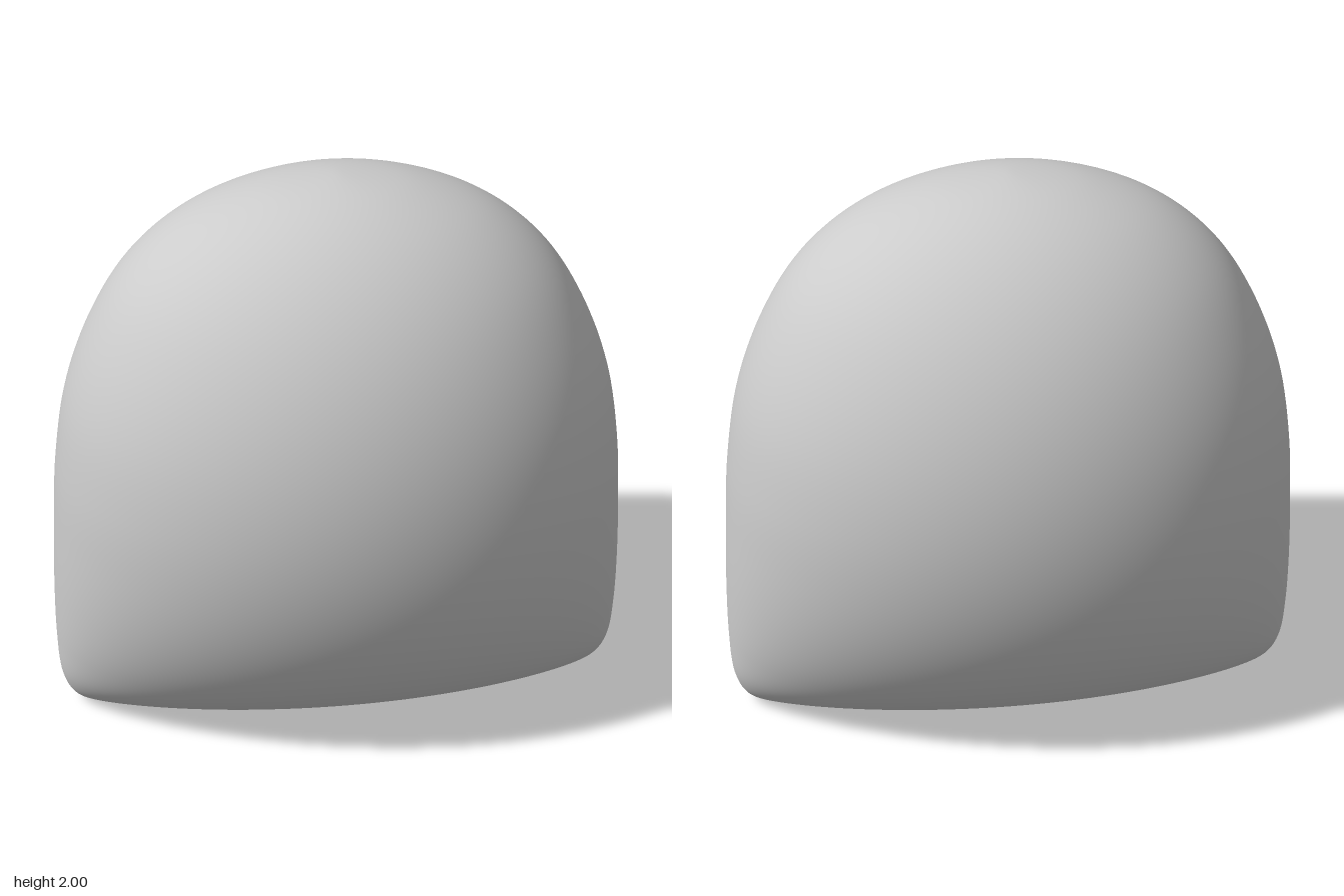
import * as THREE from 'three';
import { mergeVertices } from 'three/addons/utils/BufferGeometryUtils.js';

// Half widths from the bottom edge to the crown, at equal steps of the vertical arc
const HALF_WIDTHS = [0.86, 0.945, 0.99, 1, 0.997, 0.985, 0.965, 0.92, 0.83, 0.7, 0.51, 0.26, 0];
const HALF_DEPTH = 0.715;

// Elliptical level sections: oval from the side, closing to a straight edge below and a dome above
function bodyGeometry() {
  const width = new THREE.SplineCurve(HALF_WIDTHS.map((w, i) => new THREE.Vector2(i, w)));
  const sheet = new THREE.PlaneGeometry(1, 1, 128, 96);
  const pos = sheet.attributes.position;
  const uv = sheet.attributes.uv;
  for (let i = 0; i < pos.count; i++) {
    const a = (uv.getX(i) * 2 - 1) * Math.PI;
    const v = uv.getY(i);
    const t = v * Math.PI;
    pos.setXYZ(
      i,
      width.getPoint(v).y * Math.sin(a),
      1 - Math.cos(t),
      HALF_DEPTH * Math.sin(t) * Math.cos(a)
    );
  }
  // Weld the seam, the crown and the bottom edge so shading stays smooth
  sheet.deleteAttribute('uv');
  sheet.deleteAttribute('normal');
  const geometry = mergeVertices(sheet, 1e-4);
  geometry.computeVertexNormals();
  return geometry;
}

export function createModel() {
  const group = new THREE.Group();
  const material = new THREE.MeshStandardMaterial({ color: 0xcccccc });
  const body = new THREE.Mesh(bodyGeometry(), material);
  body.name = 'body';
  group.add(body);
  return group;
}
